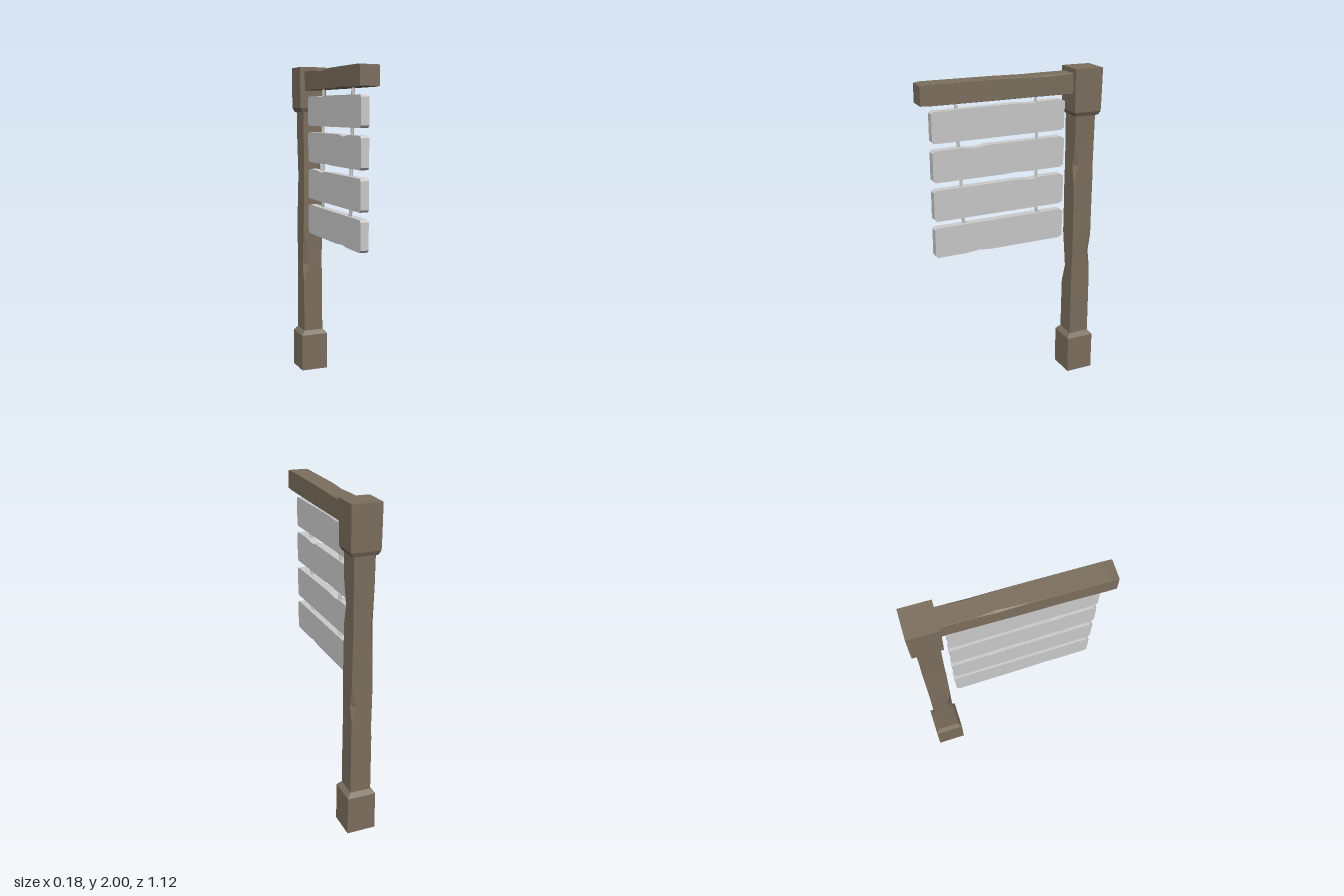
import * as THREE from 'three';

const wood = new THREE.MeshStandardMaterial({ color: 0x7c6f5e, flatShading: true });
const grey = new THREE.MeshStandardMaterial({ color: 0xcccccc, flatShading: true });

// Square-section loft along y. Each ring: [y, halfWidthX, halfDepthZ, cornerChips, centreX, centreZ].
// Chip order: (-x,+z), (+x,+z), (+x,-z), (-x,-z).
const corners = [[-1, 1], [1, 1], [1, -1], [-1, -1]];
const dirs = [[1, 0], [0, -1], [-1, 0], [0, 1]];

function loft(rings) {
  const pos = [], index = [];
  for (const [y, w, d, chips = [], cx = 0, cz = 0] of rings) {
    corners.forEach(([sx, sz], k) => {
      const c = chips[k] || 0.001, before = dirs[(k + 3) % 4], after = dirs[k];
      pos.push(cx + sx * w - c * before[0], y, cz + sz * d - c * before[1]);
      pos.push(cx + sx * w + c * after[0], y, cz + sz * d + c * after[1]);
    });
  }
  for (let r = 0; r < rings.length - 1; r++) {
    for (let i = 0; i < 8; i++) {
      const a = r * 8 + i, b = r * 8 + (i + 1) % 8;
      index.push(a, b, b + 8, a, b + 8, a + 8);
    }
  }
  const top = (rings.length - 1) * 8;
  for (let i = 1; i < 7; i++) index.push(0, i + 1, i, top, top + i, top + i + 1);
  const g = new THREE.BufferGeometry();
  g.setAttribute('position', new THREE.Float32BufferAttribute(pos, 3));
  g.setIndex(index);
  const flat = g.toNonIndexed();
  flat.computeVertexNormals();
  return flat;
}

function add(group, name, geometry, material) {
  const mesh = new THREE.Mesh(geometry, material);
  mesh.name = name;
  group.add(mesh);
  return mesh;
}

// Plank with clipped corners; dents are [z, depth] on the top and bottom edges
function plank(y0, y1, topDents, bottomDents) {
  const z0 = -0.355, z1 = 0.49, c = 0.014;
  const pts = [[z0 + 0.004, y0 + c], [z0 + c + 0.01, y0]];
  for (const [z, d] of bottomDents) pts.push([z - 0.09, y0], [z, y0 + d], [z + 0.07, y0]);
  pts.push([z1 - c, y0], [z1, y0 + c], [z1, y1 - c], [z1 - c, y1 - 0.002]);
  for (const [z, d] of topDents) pts.push([z + 0.09, y1], [z, y1 - d], [z - 0.07, y1]);
  pts.push([z0 + c + 0.01, y1], [z0, y1 - c]);
  const shape = new THREE.Shape(pts.map(([z, y]) => new THREE.Vector2(z, y)));
  const g = new THREE.ExtrudeGeometry(shape, { depth: 0.05, bevelEnabled: false });
  return g.rotateY(-Math.PI / 2);
}

function cord(a, b) {
  const from = new THREE.Vector3(...a), to = new THREE.Vector3(...b);
  const axis = to.clone().sub(from);
  const g = new THREE.CylinderGeometry(0.01, 0.01, axis.length(), 6);
  g.applyQuaternion(new THREE.Quaternion().setFromUnitVectors(
    new THREE.Vector3(0, 1, 0), axis.normalize()));
  const mid = from.add(to).multiplyScalar(0.5);
  return g.translate(mid.x, mid.y, mid.z);
}

export function createModel() {
  const model = new THREE.Group();
  model.name = 'hangingSign';

  // Post, with chipped corners
  const post = add(model, 'post', loft([
    [0.25, 0.064, 0.066],
    [0.6, 0.064, 0.064],
    [0.72, 0.061, 0.064, [0.034]],
    [0.83, 0.063, 0.063, [0.018, 0, 0.026]],
    [0.95, 0.064, 0.063],
    [1.13, 0.062, 0.064, [0, 0, 0, 0.006]],
    [1.3, 0.06, 0.066, [0, 0.004, 0, 0.018]],
    [1.41, 0.06, 0.064, [0, 0.026, 0, 0.008]],
    [1.55, 0.061, 0.065],
    [1.74, 0.063, 0.066],
  ]), wood);
  post.position.set(-0.003, 0, -0.464);

  // Plinth with sloped shoulder
  const base = add(model, 'postBase', loft([
    [0, 0.089, 0.089], [0.24, 0.088, 0.089], [0.268, 0.066, 0.067],
  ]), wood);
  base.position.set(-0.002, 0, -0.463);

  // Head block, slightly twisted with the beam
  const head = add(model, 'postHead', loft([
    [1.718, 0.074, 0.076], [1.742, 0.086, 0.086], [1.82, 0.087, 0.088], [2, 0.088, 0.09],
  ]), wood);
  head.position.set(-0.002, 0, -0.468);
  head.rotation.y = -0.027;

  // Beam: lofted along its length, then laid down toward the front
  const beamGeometry = loft([
    [0, 0.058, 0.06],
    [0.2, 0.058, 0.059, [0, 0, 0.008, 0]],
    [0.31, 0.058, 0.059, [0, 0, 0.003, 0.012]],
    [0.5, 0.058, 0.06],
    [0.66, 0.058, 0.06, [0.006]],
    [0.92, 0.058, 0.06],
    [0.96, 0.058, 0.056, [], 0, 0.001],
  ]).rotateX(Math.PI / 2);
  const beam = add(model, 'beam', beamGeometry, wood);
  beam.position.set(-0.003, 1.913, -0.4);
  beam.rotation.y = -0.027;

  // Four hanging planks
  const planks = [
    [1.63, 1.815, [[-0.13, 0.007]], []],
    [1.4, 1.59, [[0.23, 0.012]], [[-0.03, 0.004]]],
    [1.165, 1.355, [[-0.13, 0.009]], []],
    [0.938, 1.125, [], [[0.22, 0.008]]],
  ];
  planks.forEach((p, i) => add(model, `plank${i + 1}`, plank(...p), grey));

  // Short cords in every gap: [top y, bottom y, front z pair, rear z pair]
  const gaps = [
    [1.87, 1.8, [0.335, 0.328], [-0.163, -0.168]],
    [1.64, 1.575, [0.327, 0.318], [-0.175, -0.177]],
    [1.41, 1.345, [0.31, 0.31], [-0.173, -0.175]],
    [1.175, 1.115, [0.308, 0.294], [-0.17, -0.187]],
  ];
  for (const [top, bottom, front, rear] of gaps) {
    add(model, 'frontCord', cord([-0.03, top, front[0]], [-0.03, bottom, front[1]]), grey);
    add(model, 'rearCord', cord([-0.016, top, rear[0]], [-0.016, bottom, rear[1]]), grey);
  }
  return model;
}
